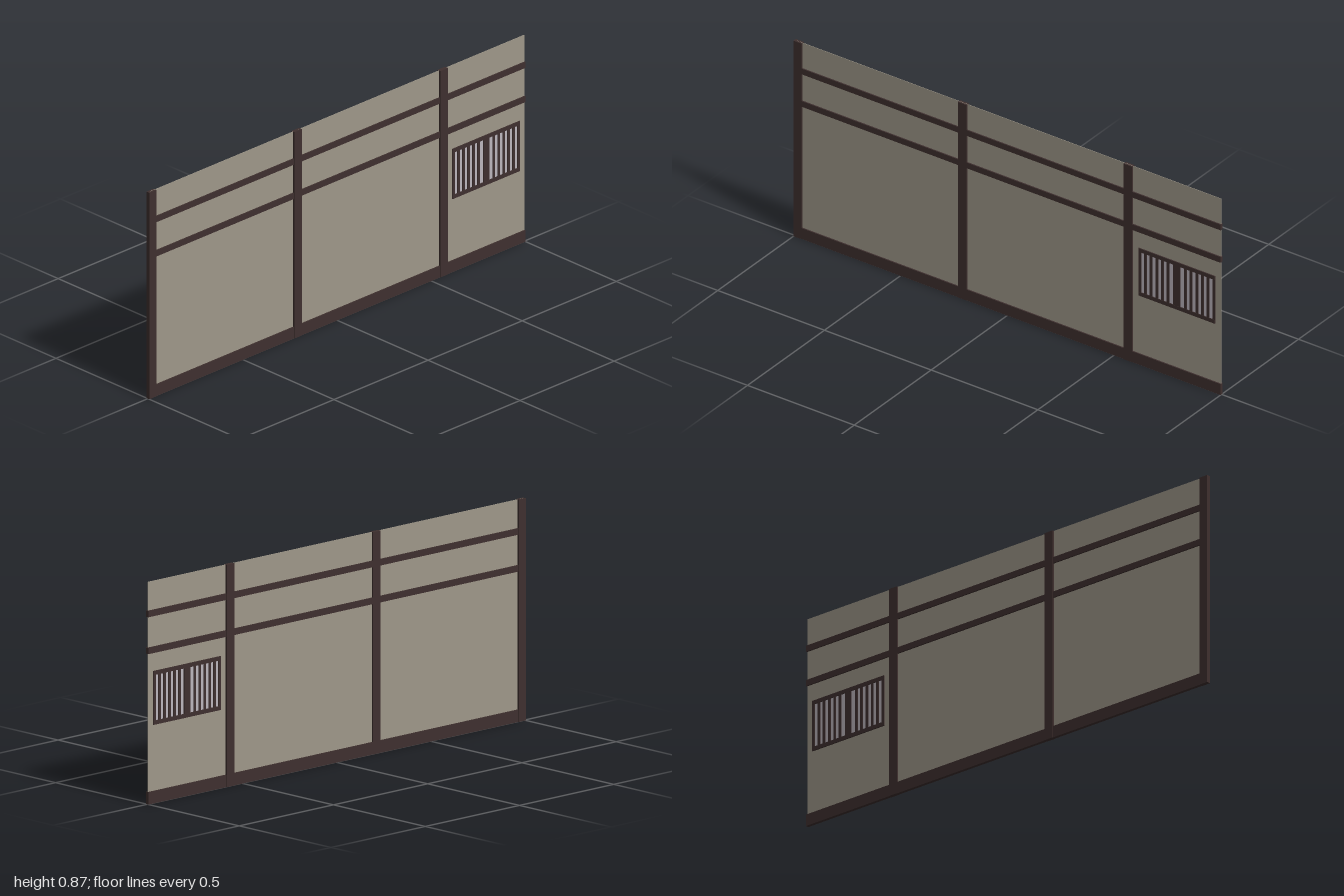
import * as THREE from 'three';

export function createModel() {
  const model = new THREE.Group();
  model.name = 'timberWall';
  const timber = new THREE.MeshStandardMaterial({ color: 0x3f302f });
  const plaster = new THREE.MeshStandardMaterial({ color: 0x9f988a });
  const paper = new THREE.MeshStandardMaterial({ color: 0xbdb6be });

  // Box spanning z0..z1 and y0..y1, centred on x = 0
  function slab(name, material, thickness, y0, y1, z0, z1, parent = model) {
    const mesh = new THREE.Mesh(new THREE.BoxGeometry(thickness, y1 - y0, z1 - z0), material);
    mesh.position.set(0, (y0 + y1) / 2, (z0 + z1) / 2);
    mesh.name = name;
    parent.add(mesh);
  }

  // Plaster panel
  slab('plasterPanel', plaster, 0.002, 0.01, 0.868, -0.999, 0.99);

  // Upright posts
  for (const [z0, z1] of [[0.963, 1], [0.19, 0.23], [-0.586, -0.546]]) {
    slab('post', timber, 0.016, 0, 0.868, z0, z1);
  }

  // Sill and the two upper rails
  for (const [name, y0, y1] of [['sill', 0, 0.048], ['lowerRail', 0.587, 0.612], ['upperRail', 0.731, 0.756]]) {
    slab(name, timber, 0.013, y0, y1, -1, 0.995);
  }

  // Barred window: paper pane, top and bottom frame, two leaves of bars
  const grille = new THREE.Group();
  grille.name = 'barredWindow';
  model.add(grille);
  const zMin = -0.972, zMax = -0.614, zMid = (zMin + zMax) / 2;
  slab('paperPane', paper, 0.004, 0.315, 0.508, zMin + 0.004, zMax - 0.004, grille);
  slab('windowHead', timber, 0.011, 0.5, 0.516, zMin, zMax, grille);
  slab('windowSill', timber, 0.011, 0.306, 0.322, zMin, zMax, grille);
  slab('meetingStile', timber, 0.0095, 0.32, 0.502, zMid - 0.016, zMid + 0.016, grille);
  for (const side of [-1, 1]) {
    for (let i = 0; i < 6; i++) {
      const z = zMid + side * (0.173 - i * 0.0265);
      slab('windowBar', timber, 0.0095, 0.32, 0.502, z - 0.006, z + 0.006, grille);
    }
  }
  return model;
}
